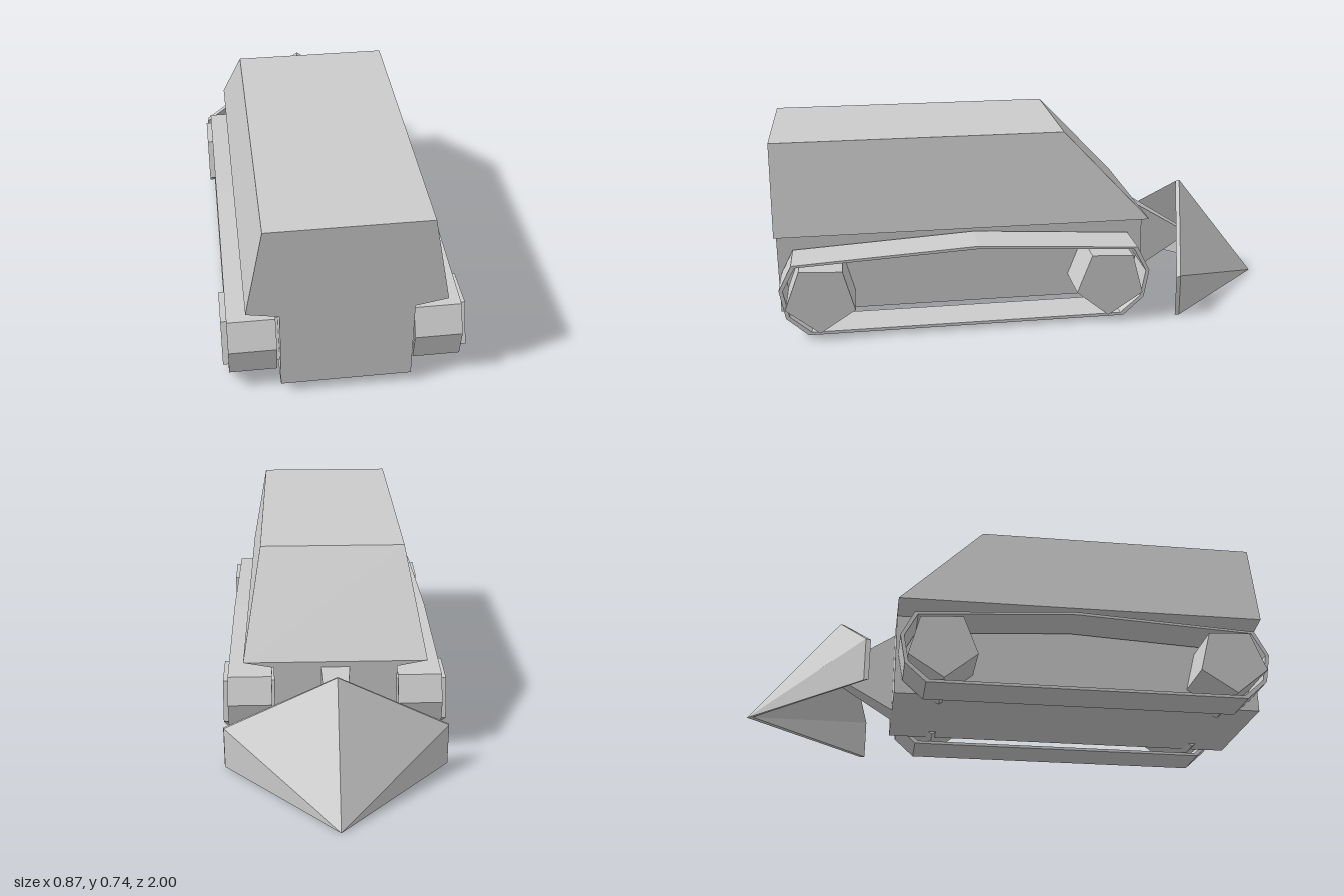
import * as THREE from 'three';

const material = new THREE.MeshStandardMaterial({ color: 0xcccccc, flatShading: true, side: THREE.DoubleSide });

// Solid through matching rings of [x, y, z], counter-clockwise as seen from the last ring's end.
function loft(name, rings) {
  const pos = [];
  const tri = (a, b, c) => pos.push(...a, ...b, ...c);
  const n = rings[0].length;
  for (let i = 0; i < rings.length - 1; i++) {
    for (let j = 0; j < n; j++) {
      const k = (j + 1) % n;
      const [a, b, c, d] = [rings[i][j], rings[i][k], rings[i + 1][k], rings[i + 1][j]];
      tri(a, b, c);
      tri(a, c, d);
    }
  }
  const first = rings[0], last = rings[rings.length - 1];
  for (let j = 1; j < n - 1; j++) {
    tri(first[0], first[j + 1], first[j]);
    tri(last[0], last[j], last[j + 1]);
  }
  const geo = new THREE.BufferGeometry();
  geo.setAttribute('position', new THREE.Float32BufferAttribute(pos, 3));
  geo.computeVertexNormals();
  const mesh = new THREE.Mesh(geo, material);
  mesh.name = name;
  return mesh;
}

// Side profile of [z, y] points extruded across x, with an optional hole.
function sideExtrude(name, points, x0, x1, hole) {
  const toVec = ([z, y]) => new THREE.Vector2(-z, y);
  const shape = new THREE.Shape(points.map(toVec));
  if (hole) shape.holes.push(new THREE.Path(hole.map(toVec)));
  const geo = new THREE.ExtrudeGeometry(shape, { depth: x1 - x0, bevelEnabled: false });
  geo.rotateY(Math.PI / 2);
  geo.translate(x0, 0, 0);
  const mesh = new THREE.Mesh(geo, material);
  mesh.name = name;
  return mesh;
}

export function createModel() {
  const model = new THREE.Group();
  model.name = 'trackedPlowVehicle';

  // Hull: narrow between the tracks, flaring out, then tapering to the roof
  const levels = [
    [0.04, 0.235, -0.44],
    [0.365, 0.235, -0.44],
    [0.387, 0.35, -0.44],
    [0.735, 0.285, -0.11],
  ]; // y, half width, back z
  model.add(loft('hull', levels.map(([y, w, back]) => [
    [-w, y, 1], [w, y, 1], [w, y, back], [-w, y, back],
  ])));

  // Tracks: thin bands around two five-sided wheels
  const band = [
    [0.99, 0.2], [0.94, 0.298], [0.24, 0.337], [-0.38, 0.298], [-0.43, 0.2],
    [-0.41, 0.088], [-0.33, 0.015], [0.89, 0.015], [0.97, 0.088],
  ];
  const bandHole = band.map(([z, y]) => [0.28 + (z - 0.28) * 0.98, 0.177 + (y - 0.177) * 0.93]);
  const pentagon = (cz) => Array.from({ length: 5 }, (_, i) => {
    const a = THREE.MathUtils.degToRad(-15 + i * 72);
    return [cz + 0.137 * Math.cos(a), 0.165 + 0.137 * Math.sin(a)];
  });
  for (const [side, s] of [['left', 1], ['right', -1]]) {
    const span = (a, b) => (s > 0 ? [a, b] : [-b, -a]);
    model.add(sideExtrude(side + 'Track', band, ...span(0.245, 0.415), bandHole));
    model.add(sideExtrude(side + 'FrontWheel', pentagon(0.838), ...span(0.165, 0.435)));
    model.add(sideExtrude(side + 'BackWheel', pentagon(-0.272), ...span(0.165, 0.435)));
  }

  // Tapering arm that carries the plow
  const armSections = [[-0.44, 0.055, 0.04, 0.365], [-0.68, 0.033, 0.185, 0.215]];
  model.add(loft('plowArm', armSections.map(([z, w, low, high]) => [
    [w, low, z], [-w, low, z], [-w, high, z], [w, high, z],
  ])));

  // Plow: two thin mirrored blades meeting in a ridge
  const inner = [[0.428, 0.165, -0.537], [0.428, 0.008, -0.537], [0, 0.003, -0.978], [0, 0.425, -0.647]];
  const outer = [[0.425, 0.17, -0.555], [0.425, 0.005, -0.555], [0, 0, -1], [0, 0.43, -0.663]];
  const mirror = (ring) => [0, 3, 2, 1].map((i) => [-ring[i][0], ring[i][1], ring[i][2]]);
  model.add(loft('leftPlowBlade', [inner, outer]));
  model.add(loft('rightPlowBlade', [mirror(inner), mirror(outer)]));

  return model;
}
